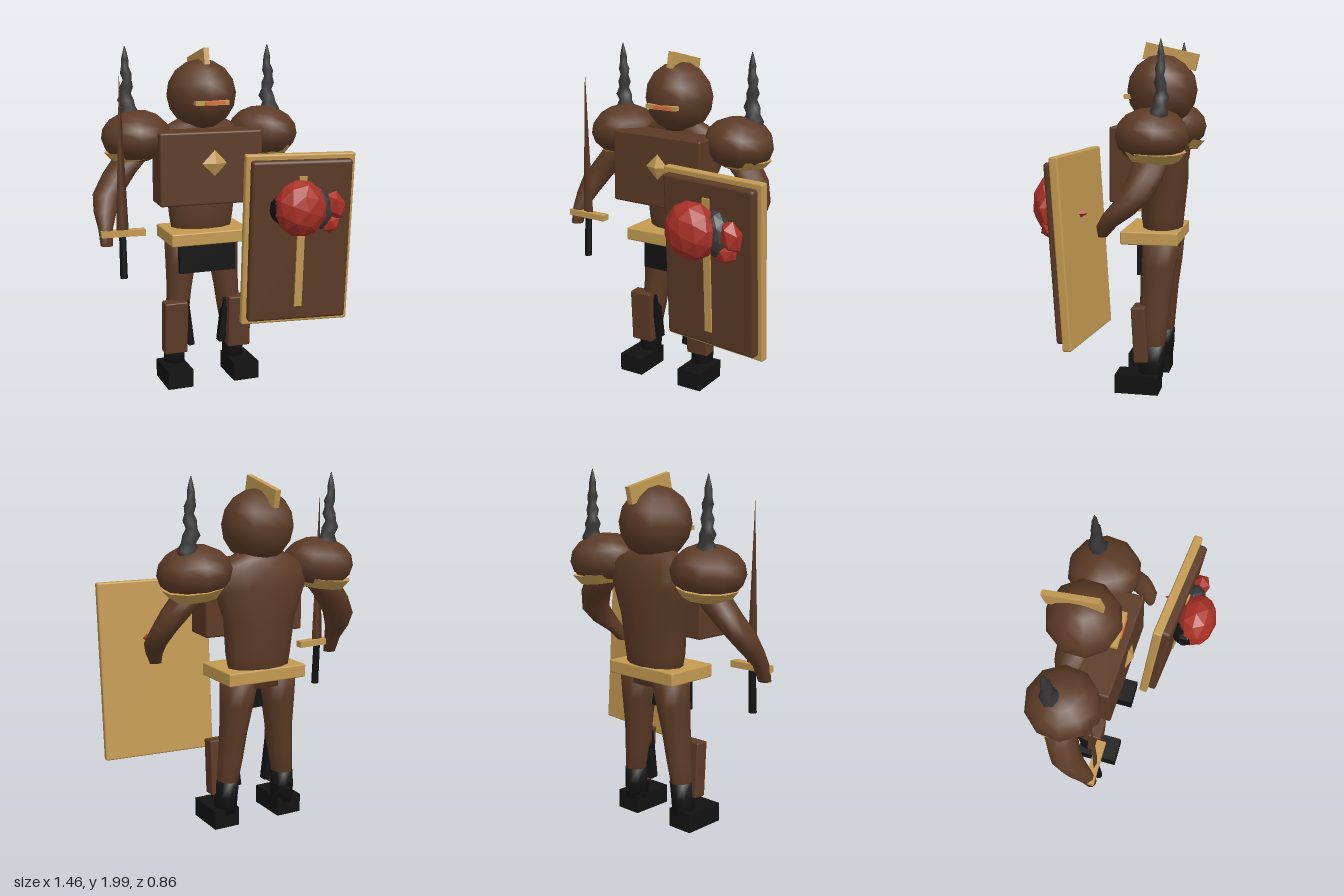
import * as THREE from 'three';
import { RoundedBoxGeometry } from 'three/addons/geometries/RoundedBoxGeometry.js';

const CX = -0.055; // body axis

const mat = (name, color, side = THREE.FrontSide) => {
  const m = new THREE.MeshStandardMaterial({ color, side });
  m.name = name;
  return m;
};

// Skin through elliptical rings [x, y, z, rx, rz], ordered bottom to top, closed at both ends
function loft(rings, sides = 10, twist = 0) {
  const first = rings[0], last = rings[rings.length - 1];
  const all = [[...first.slice(0, 3), 0.001, 0.001], ...rings, [...last.slice(0, 3), 0.001, 0.001]];
  const pos = [], idx = [];
  all.forEach(([x, y, z, rx, rz], r) => {
    for (let i = 0; i < sides; i++) {
      const a = (i / sides) * Math.PI * 2 + r * twist;
      pos.push(x + Math.cos(a) * rx, y, z + Math.sin(a) * rz);
    }
  });
  for (let r = 0; r < all.length - 1; r++) {
    for (let i = 0; i < sides; i++) {
      const p = r * sides + i, q = r * sides + (i + 1) % sides;
      idx.push(p, p + sides, q, q, p + sides, q + sides);
    }
  }
  const g = new THREE.BufferGeometry();
  g.setAttribute('position', new THREE.Float32BufferAttribute(pos, 3));
  g.setIndex(idx);
  g.computeVertexNormals();
  return g;
}

export function createModel() {
  const model = new THREE.Group();
  model.name = 'armoredWarrior';
  const brown = mat('brown', 0x5c3a26);
  const gold = mat('gold', 0xc49a52);
  const black = mat('black', 0x121212);
  const horn = mat('hornGrey', 0x3a3839);
  const red = mat('red', 0xa83026);
  const ember = mat('ember', 0xe0683c);

  const add = (name, geo, m, x = 0, y = 0, z = 0, rot = [0, 0, 0], parent = model) => {
    const mesh = new THREE.Mesh(geo, m);
    mesh.name = name;
    mesh.position.set(x, y, z);
    mesh.rotation.set(...rot);
    parent.add(mesh);
    return mesh;
  };
  const box = (w, h, d) => new THREE.BoxGeometry(w, h, d);

  // Torso, chest plate, chest gem
  add('torso', loft([
    [CX, 0.82, -0.23, 0.17, 0.1], [CX, 1.0, -0.225, 0.2, 0.125], [CX, 1.2, -0.235, 0.22, 0.135],
    [CX, 1.38, -0.245, 0.29, 0.125], [CX, 1.49, -0.25, 0.3, 0.105], [CX, 1.54, -0.24, 0.2, 0.09],
    [CX, 1.6, -0.22, 0.08, 0.08],
  ], 12), brown);
  add('chestPlate', new RoundedBoxGeometry(0.605, 0.42, 0.2, 2, 0.012), brown, -0.066, 1.31, -0.083, [0, -0.05, 0]);
  add('chestGem', new THREE.OctahedronGeometry(0.075), gold, CX, 1.34, 0.02).scale.z = 0.4;

  // Belt and loincloth
  add('belt', new RoundedBoxGeometry(0.49, 0.075, 0.325, 2, 0.008), gold, CX, 0.893, -0.183);
  add('loincloth', box(0.35, 0.21, 0.09), black, CX, 0.775, -0.15);

  // Head with visor and crest
  add('head', new THREE.SphereGeometry(0.203, 10, 8), brown, CX, 1.712, -0.215, [0, 0.3, 0.06]);
  add('visor', box(0.2, 0.026, 0.04), gold, CX, 1.677, -0.033);
  add('visorGlow', box(0.12, 0.018, 0.008), ember, CX + 0.015, 1.677, -0.011);
  add('crest', box(0.032, 0.095, 0.31), gold, CX, 1.9, -0.265, [-0.225, 0, 0]);

  // Legs with boots, shin guards and feet
  for (const s of [-1, 1]) {
    const side = s < 0 ? 'right' : 'left';
    const X = (d) => CX + s * d;
    add(side + 'Leg', loft([
      [X(0.19), 0.2, -0.195, 0.056, 0.07], [X(0.165), 0.4, -0.2, 0.07, 0.085],
      [X(0.15), 0.55, -0.21, 0.075, 0.09], [X(0.135), 0.72, -0.222, 0.093, 0.102],
      [X(0.12), 0.88, -0.23, 0.112, 0.11],
    ]), brown);
    add(side + 'Boot', loft([
      [X(0.19), 0.08, -0.19, 0.064, 0.07], [X(0.188), 0.18, -0.195, 0.064, 0.076],
      [X(0.18), 0.27, -0.195, 0.066, 0.08],
    ]), black);
    add(side + 'BootCuff', box(0.035, 0.28, 0.05), black, X(0.112), 0.35, -0.155, [0, 0, -s * 0.12]);
    add(side + 'ShinGuard', new RoundedBoxGeometry(0.14, 0.32, 0.08, 2, 0.008), brown, X(0.2), 0.34, -0.135, [0.06, 0, 0]);
    add(side + 'Foot', box(0.155, 0.108, 0.25), black, X(0.208), 0.054, -0.122);
  }

  // Arms
  add('rightArm', loft([
    [-0.68, 0.9, -0.03, 0.036, 0.035], [-0.678, 0.99, -0.06, 0.042, 0.05],
    [-0.662, 1.08, -0.125, 0.068, 0.07], [-0.63, 1.17, -0.18, 0.09, 0.085],
    [-0.55, 1.28, -0.22, 0.1, 0.09], [-0.43, 1.42, -0.24, 0.11, 0.1],
  ]), brown);
  add('leftArm', loft([
    [0.465, 0.95, 0.015, 0.035, 0.025], [0.485, 1.01, -0.01, 0.045, 0.055],
    [0.51, 1.08, -0.08, 0.055, 0.085], [0.5, 1.17, -0.165, 0.062, 0.095],
    [0.44, 1.28, -0.215, 0.085, 0.095], [0.32, 1.42, -0.24, 0.11, 0.1],
  ]), brown);

  // Pauldrons with gold underside rims and twisted horns
  for (const s of [-1, 1]) {
    const side = s < 0 ? 'right' : 'left';
    const x = CX + s * 0.393;
    const tilt = -s * 0.1;
    const dome = add(side + 'Pauldron', new THREE.SphereGeometry(0.205, 10, 8), brown, x, 1.482, -0.225, [0, 0.2, tilt]);
    dome.scale.y = 0.73;
    add(side + 'PauldronRim', new THREE.CylinderGeometry(0.172, 0.13, 0.055, 10), gold, x + s * 0.01, 1.378, -0.24, [-0.05, 0, tilt]);
    const hx = CX + s * 0.437;
    const profile = [0.058, 0.062, 0.042, 0.05, 0.032, 0.04, 0.026, 0.034, 0.022, 0.022, 0.013, 0.002];
    add(side + 'Horn', loft(profile.map((r, i) => {
      const t = i / (profile.length - 1);
      const sway = 0.012 * Math.sin(i * 1.3) * (1 - t);
      return [hx + 0.012 * (1 - t) + sway, 1.57 + 0.42 * t, -0.278 + sway * 0.6, r, r * 0.85];
    }), 7, 0.4), horn);
  }

  // Sword
  const sword = new THREE.Group();
  sword.name = 'sword';
  sword.position.set(-0.59, 0, -0.025);
  model.add(sword);
  const blade = add('blade', new THREE.ConeGeometry(0.036, 0.87, 4), brown, 0, 1.415, 0, [0, 0, 0], sword);
  blade.scale.z = 0.3;
  add('crossguard', box(0.255, 0.036, 0.052), gold, 0.003, 0.966, -0.002, [0, 0, -0.02], sword);
  add('grip', new THREE.CylinderGeometry(0.02, 0.022, 0.25, 8), black, 0, 0.83, 0.005, [-0.05, 0, 0], sword);

  // Shield: gold board, raised panel, centre strip
  const shield = new THREE.Group();
  shield.name = 'shield';
  shield.position.set(0.405, 0.89, 0.145);
  shield.rotation.set(0.065, -0.115, 0);
  model.add(shield);
  add('shieldBoard', new RoundedBoxGeometry(0.65, 1.015, 0.05, 2, 0.01), gold, 0, 0, 0, [0, 0, 0], shield);
  add('shieldPanel', new RoundedBoxGeometry(0.595, 0.955, 0.06, 2, 0.018), brown, 0, 0, 0.04, [0, 0, 0], shield);
  add('shieldStrip', box(0.045, 0.78, 0.02), gold, 0, 0, 0.07, [0, 0, 0], shield);

  // Beast head on the shield: faceted skull, dark jaw bands, red muzzle
  const lump = (name, m, x, y, z, sx, sy, sz, detail, rot) => {
    const g = new THREE.IcosahedronGeometry(1, detail);
    add(name, g, m, x, y, z, rot).scale.set(sx, sy, sz);
  };
  lump('beastSkull', red, 0.35, 1.105, 0.31, 0.155, 0.165, 0.12, 1, [0, 0, 0.2]);
  lump('beastCollar', black, 0.3, 1.1, 0.27, 0.12, 0.1, 0.085, 1, [0, 0, 0.1]);
  lump('beastBand', horn, 0.48, 1.095, 0.265, 0.085, 0.135, 0.075, 1, [0, 0, 0.25]);
  lump('beastMuzzle', red, 0.575, 1.1, 0.285, 0.065, 0.095, 0.06, 0, [0, 0, 0.3]);
  lump('beastJaw', red, 0.55, 1.0, 0.28, 0.065, 0.055, 0.055, 0, [0, 0, 0.6]);
  add('beastSpike', new THREE.ConeGeometry(0.03, 0.05, 4), red, 0.46, 1.07, 0.125, [-Math.PI / 2, 0, 0]);

  // Facet the beast head
  model.traverse((o) => {
    if (o.isMesh && o.name.startsWith('beast')) {
      o.geometry = o.geometry.index ? o.geometry.toNonIndexed() : o.geometry;
      o.geometry.computeVertexNormals();
    }
  });
  return model;
}
